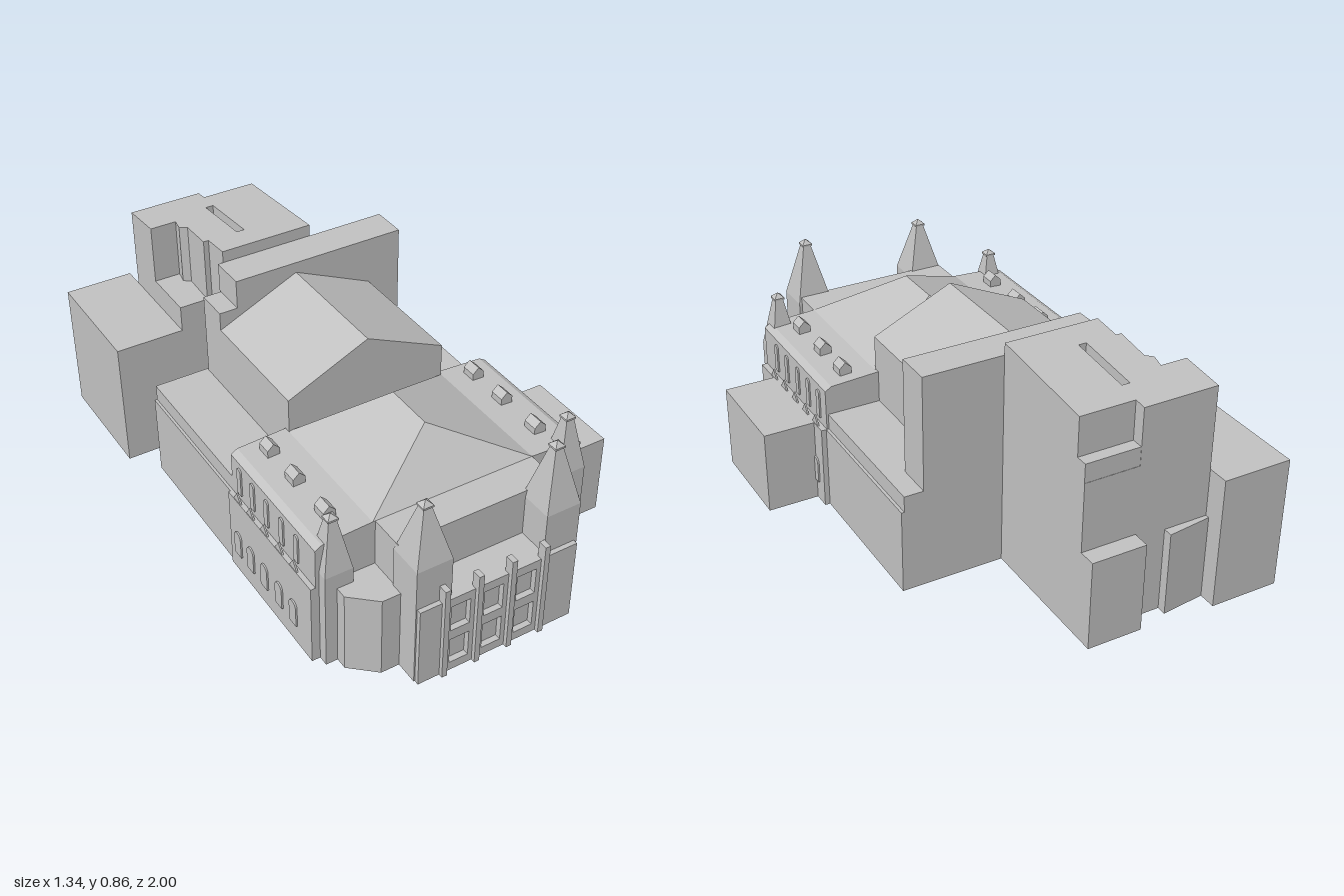
import * as THREE from 'three';

const CX = -0.06; // symmetry axis of the hall

export function createModel() {
  const model = new THREE.Group();
  model.name = 'concertHall';
  const stone = new THREE.MeshStandardMaterial({ color: 0xc0c0c0, flatShading: true });
  stone.name = 'paleGreyStone';

  const add = (name, geo) => {
    const mesh = new THREE.Mesh(geo, stone);
    mesh.name = name;
    model.add(mesh);
    return mesh;
  };
  // box given by its limits on each axis
  const block = (name, x0, x1, y0, y1, z0, z1) =>
    add(name, new THREE.BoxGeometry(x1 - x0, y1 - y0, z1 - z0)
      .translate((x0 + x1) / 2, (y0 + y1) / 2, (z0 + z1) / 2));
  const shapeOf = (pts) => new THREE.Shape(pts.map(([a, b]) => new THREE.Vector2(a, b)));
  const extrude = (shape, depth) =>
    new THREE.ExtrudeGeometry(shape, { depth, bevelEnabled: false, curveSegments: 6 });
  // front outline (x, y) drawn out along z
  const prismZ = (name, pts, z0, z1) => add(name, extrude(shapeOf(pts), z1 - z0).translate(0, 0, z0));
  // floor plan (x, z) raised along y
  const planGeo = (pts, y0, y1, hole) => {
    const s = shapeOf(pts.map(([x, z]) => [x, -z]));
    if (hole) s.holes.push(shapeOf(hole.map(([x, z]) => [x, -z])));
    return extrude(s, y1 - y0).rotateX(-Math.PI / 2).translate(0, y0, 0);
  };

  // ---- auditorium with low side wings ----
  block('wingBase', -0.59, 0.458, 0, 0.32, -0.43, 0.19);
  block('wingUpper', -0.58, 0.447, 0.32, 0.38, -0.43, 0.19);
  prismZ('auditorium', [[-0.37, 0.38], [0.245, 0.38], [0.245, 0.63], [CX, 0.77], [-0.37, 0.63]], -0.3, 0.19);
  block('stageTower', -0.3, 0.375, 0.38, 0.81, -0.43, -0.295);
  block('stageSideBlock', -0.37, -0.3, 0.38, 0.7, -0.42, -0.295);

  // ---- rear tower with sloping roof and slot ----
  block('rearShaft', -0.28, 0.075, 0, 0.6, -0.92, -0.43);
  block('rearShaftSide', -0.41, -0.28, 0, 0.6, -0.92, -0.54);
  const upperPlan = (zBack) => [[-0.28, -0.43], [0.075, -0.43], [0.075, zBack], [-0.13, zBack],
    [-0.13, -0.92], [-0.41, -0.92], [-0.41, -0.75], [-0.31, -0.75], [-0.32, -0.7], [-0.295, -0.68], [-0.3, -0.54], [-0.28, -0.54]];
  add('rearTowerMiddle', planGeo(upperPlan(-0.919), 0.6, 0.67));
  add('rearTowerUpper', planGeo(upperPlan(-0.875), 0.67, 0.77));
  const slot = [[-0.165, -0.54], [-0.135, -0.54], [-0.135, -0.79], [-0.165, -0.79]];
  const top = planGeo(upperPlan(-0.875), 0.77, 0.85, slot);
  const p = top.attributes.position;
  for (let i = 0; i < p.count; i++) {
    if (p.getY(i) > 0.8) p.setY(i, 0.855 + (p.getZ(i) + 0.43) * 0.09);
  }
  top.computeVertexNormals();
  add('rearTowerRoof', top);
  block('rearSideBlock', -0.67, -0.41, 0, 0.5, -1, -0.54);
  block('rearPorch', -0.13, 0.075, 0, 0.34, -0.985, -0.92);
  add('rearLeanTo', planGeo([[-0.41, -0.92], [-0.245, -0.92], [-0.245, -0.955], [-0.41, -0.935]], 0, 0.32));

  // ---- front foyer building ----
  block('foyerBase', -0.598, 0.477, 0, 0.32, 0.165, 0.72);
  prismZ('foyerUpper', [[-0.58, 0.32], [0.455, 0.32], [0.455, 0.475], [0.43, 0.49], [0.25, 0.5],
    [-0.37, 0.5], [-0.555, 0.49], [-0.58, 0.475]], 0.165, 0.72);
  prismZ('foyerFront', [[-0.36, 0], [0.25, 0], [0.25, 0.5], [-0.36, 0.5]], 0.72, 0.85);
  block('sideAnnex', 0.46, 0.67, 0, 0.32, 0.23, 0.605);

  // hipped roof: rectangle below, ridge above
  const c = [[-0.37, 0.5, 0.72], [0.25, 0.5, 0.72], [0.25, 0.5, 0.185], [-0.37, 0.5, 0.185]];
  const f = [CX, 0.65, 0.54], b = [CX, 0.65, 0.35];
  const tris = [c[0], c[1], f, c[1], c[2], b, c[1], b, f, c[2], c[3], b, c[3], c[0], f, c[3], f, b];
  const hip = new THREE.BufferGeometry();
  hip.setAttribute('position', new THREE.Float32BufferAttribute(tris.flat(), 3));
  hip.computeVertexNormals();
  add('hippedRoof', hip);

  // angled corner bays, mirrored
  for (const s of [-1, 1]) {
    const plan = [[0.3, 0.7], [0.463, 0.7], [0.463, 0.8], [0.373, 0.88], [0.3, 0.88]]
      .map(([x, z]) => [CX + s * x, z]);
    add('cornerBay', planGeo(plan, 0, 0.32));
  }

  // ---- facade: window wall, pilasters ----
  block('facadeCore', -0.36, 0.25, 0, 0.32, 0.85, 0.962);
  const wall = shapeOf([[-0.36, 0], [0.25, 0], [0.25, 0.32], [-0.36, 0.32]]);
  const pilasterX = [-0.268, -0.141, -0.013, 0.116];
  for (let i = 0; i < 3; i++) {
    for (const [y0, y1] of [[0.035, 0.14], [0.18, 0.285]]) {
      const x0 = pilasterX[i] + 0.027, x1 = pilasterX[i + 1] - 0.027;
      wall.holes.push(shapeOf([[x0, y0], [x0, y1], [x1, y1], [x1, y0]]));
    }
  }
  add('facadeWindowWall', extrude(wall, 0.022).translate(0, 0, 0.962));
  for (const x of pilasterX) block('pilaster', x - 0.01, x + 0.01, 0, 0.38, 0.965, 1);

  // ---- corner turrets with tapering spires ----
  const turret = (name, x, z, w, yBase, yNeck, yTop, neck) => {
    block(name + 'Shaft', x - w / 2, x + w / 2, 0, yBase, z - w / 2, z + w / 2);
    const r = Math.SQRT1_2;
    const profile = [[w * r, yBase], [neck * 1.15 * r, yNeck], [neck * 1.5 * r, yNeck], [neck * 1.5 * r, yNeck + 0.007], [0, yTop]]
      .map(([a, y]) => new THREE.Vector2(a, y));
    add(name + 'Spire', new THREE.LatheGeometry(profile, 4).rotateY(Math.PI / 4).translate(x, 0, z));
  };
  turret('frontLeftTurret', 0.195, 0.9, 0.133, 0.475, 0.69, 0.715, 0.026);
  turret('frontRightTurret', -0.298, 0.9, 0.133, 0.475, 0.67, 0.695, 0.026);
  turret('sideLeftTurret', 0.4, 0.705, 0.104, 0.395, 0.592, 0.617, 0.026);
  turret('sideRightTurret', -0.515, 0.705, 0.104, 0.38, 0.57, 0.593, 0.026);

  // ---- side details, both sides ----
  const arch = (w, h) => { // round-headed window outline standing on y = 0
    const s = new THREE.Shape();
    s.moveTo(-w / 2, 0);
    s.lineTo(w / 2, 0);
    s.lineTo(w / 2, h - w / 2);
    s.absarc(0, h - w / 2, w / 2, 0, Math.PI, false);
    return s;
  };
  for (const s of [-1, 1]) {
    // small gabled dormers on the roof
    for (const z of [0.24, 0.41, 0.6]) {
      const x = CX + s * 0.412;
      prismZ('dormer', [[x - 0.023, 0.48], [x + 0.023, 0.48], [x + 0.023, 0.52], [x, 0.542], [x - 0.023, 0.52]], z - 0.028, z + 0.028);
    }
    const onWall = (name, shape, x, y, z) =>
      add(name, extrude(shape, 0.006).rotateY(s * Math.PI / 2).translate(x, y, z));
    for (const z of [0.225, 0.315, 0.41, 0.51, 0.605]) {
      const wallX = s > 0 ? 0.477 : -0.598;
      onWall('archedWindow', arch(0.045, 0.1), wallX, 0.08, z);
      onWall('wallGable', shapeOf([[-0.024, 0], [0.024, 0], [0, 0.036]]), wallX - s * 0.008, 0.32, z);
      onWall('tallWindow', arch(0.026, 0.11), s > 0 ? 0.455 : -0.58, 0.345, z);
    }
  }
  return model;
}
